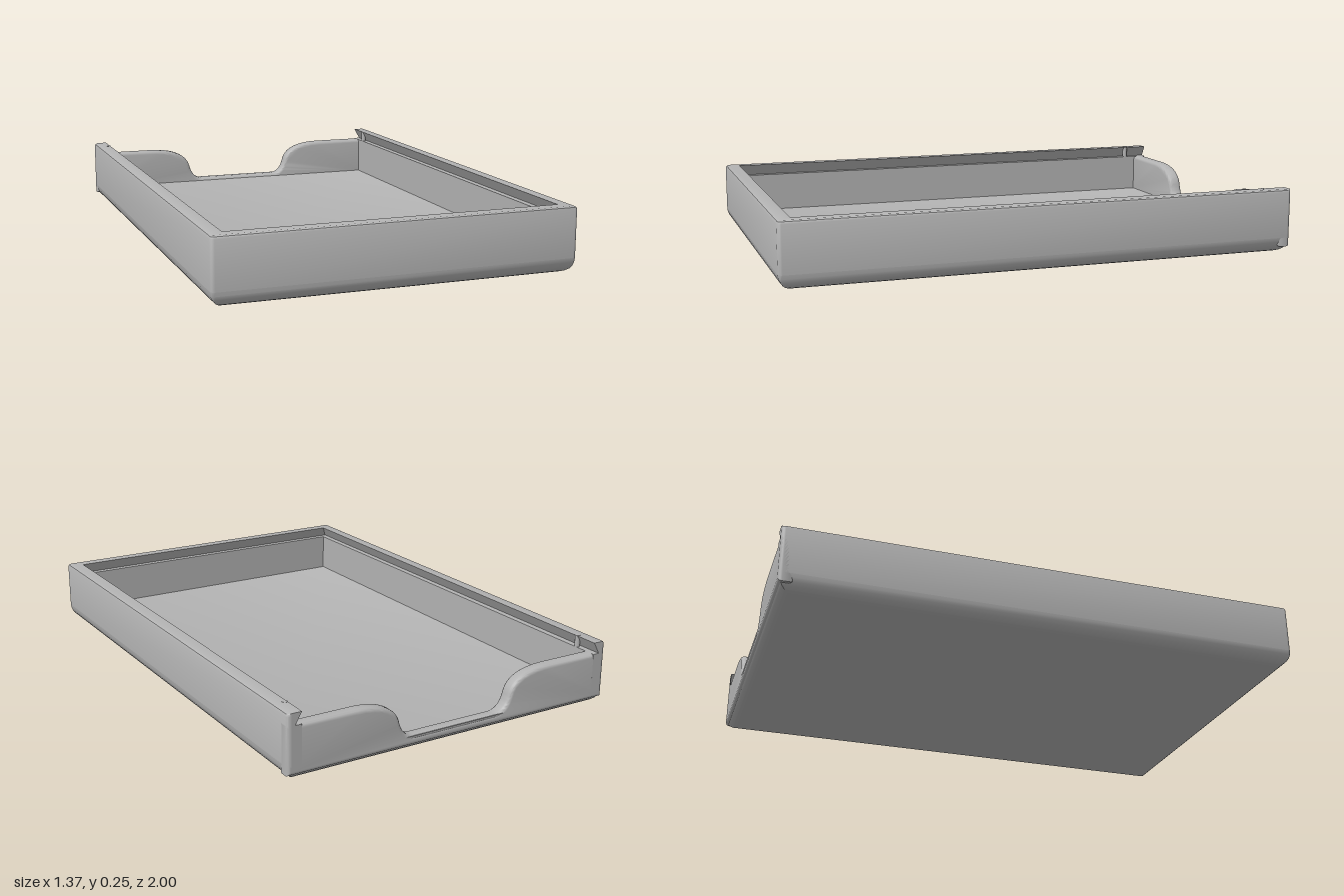
import * as THREE from 'three';
import { toCreasedNormals } from 'three/addons/utils/BufferGeometryUtils.js';

const X = 0.685, Z = 1, R = 0.015;            // half width, half length, corner radius
const H = 0.25, LEDGE = 0.205, SILL = 0.06, FLOOR = 0.05, WALL = 0.055;
const CREASE = 0.6;

// Skin a grid of points; closed joins each row's end to its start
function skin(rows, closed) {
  const n = rows[0].length, pos = [], index = [];
  rows.forEach(row => row.forEach(p => pos.push(p.x, p.y, p.z)));
  for (let i = 0; i < rows.length - 1; i++) {
    for (let j = 0; j < (closed ? n : n - 1); j++) {
      const k = (j + 1) % n;
      const a = i * n + j, b = i * n + k, c = (i + 1) * n + k, d = (i + 1) * n + j;
      index.push(a, b, c, a, c, d);
    }
  }
  const g = new THREE.BufferGeometry();
  g.setAttribute('position', new THREE.Float32BufferAttribute(pos, 3));
  g.setIndex(index);
  return toCreasedNormals(g, CREASE);
}

// Rounded rectangle loop, inset by d at height y
function loop(d, y) {
  const pts = [], m = Math.max(R, d), r = Math.max(R - d, 0);
  for (let q = 0; q < 4; q++) {
    for (let s = 0; s <= 4; s++) {
      const t = (q + s / 4) * Math.PI / 2;
      const sx = q === 0 || q === 3 ? 1 : -1, sz = q < 2 ? -1 : 1;
      pts.push(new THREE.Vector3(sx * (X - m) + r * Math.cos(t), y, sz * (Z - m) - r * Math.sin(t)));
    }
  }
  return pts;
}

// U-shaped path along the left, front and right walls, inset by d at height y
function uPath(d, y) {
  const half = [], m = Math.max(R, d), r = Math.max(R - d, 0);
  for (let s = 0; s <= 4; s++) {
    const t = s / 4 * Math.PI / 2;
    half.push(new THREE.Vector3(X - m + r * Math.sin(t), y, -Z + R - R * Math.cos(t)));
  }
  for (let s = 0; s <= 4; s++) {
    const t = s / 4 * Math.PI / 2;
    half.push(new THREE.Vector3(X - m + r * Math.cos(t), y, Z - m + r * Math.sin(t)));
  }
  const mirrored = half.map(p => new THREE.Vector3(-p.x, p.y, p.z));
  return [...mirrored, ...half.reverse()];
}

export function createModel() {
  const group = new THREE.Group();
  const grey = new THREE.MeshStandardMaterial({ color: 0xb3b3b3 });
  grey.name = 'plain grey';
  const add = (name, geometry) => {
    const mesh = new THREE.Mesh(geometry, grey);
    mesh.name = name;
    group.add(mesh);
    return mesh;
  };

  // Base with rounded lower edges and a flat floor
  const centre = y => loop(0, y).map(() => new THREE.Vector3(0, y, 0));
  const rings = [centre(0)];
  for (let s = 0; s <= 6; s++) {
    const t = s / 6 * Math.PI / 2;
    rings.push(loop(SILL * (1 - Math.sin(t)), SILL * (1 - Math.cos(t))));
  }
  rings.push(loop(0.03, FLOOR), centre(FLOOR));
  add('base', skin(rings, true));

  // Three walls with an undercut groove for a sliding lid: [inset, height]
  const profile = [
    [0, SILL], [0, H - 0.012], [0.004, H - 0.004], [0.012, H],
    [WALL, H], [0.03, LEDGE], [WALL, LEDGE], [WALL, FLOOR],
  ];
  add('sideAndFrontWalls', skin(profile.map(([d, y]) => uPath(d, y)), false));

  for (const side of [-1, 1]) {
    // Flat rear end of each side wall
    const outline = profile.map(([d, y]) => new THREE.Vector2(-side * (X - Math.max(R, d)), y));
    const end = new THREE.ShapeGeometry(new THREE.Shape(outline));
    end.rotateY(Math.PI).translate(0, 0, -Z);
    add('wallEnd', end);

    // Small catch pin in the groove
    const pin = add('catchPin', new THREE.CylinderGeometry(0.01, 0.01, H + 0.001 - LEDGE, 16));
    pin.position.set(side * 0.638, (H + 0.001 + LEDGE) / 2, -0.9);
  }

  // Low back wall with a curved thumb notch
  const s = new THREE.Shape();
  s.moveTo(-X, 0.025);
  s.lineTo(X, 0.025);
  s.lineTo(X, LEDGE);
  s.lineTo(0.42, LEDGE);
  s.bezierCurveTo(0.32, LEDGE, 0.255, 0.18, 0.24, 0.125);
  s.bezierCurveTo(0.23, 0.085, 0.21, SILL, 0.17, SILL);
  s.lineTo(-0.17, SILL);
  s.bezierCurveTo(-0.21, SILL, -0.23, 0.085, -0.24, 0.125);
  s.bezierCurveTo(-0.255, 0.18, -0.32, LEDGE, -0.42, LEDGE);
  s.lineTo(-X, LEDGE);
  s.closePath();
  const back = new THREE.ExtrudeGeometry(s, {
    depth: WALL - 2 * R, bevelEnabled: true, bevelThickness: R,
    bevelSize: R, bevelOffset: -R, bevelSegments: 4, curveSegments: 14,
  });
  back.translate(0, 0, -Z + R);
  add('backWall', toCreasedNormals(back, CREASE));

  return group;
}
